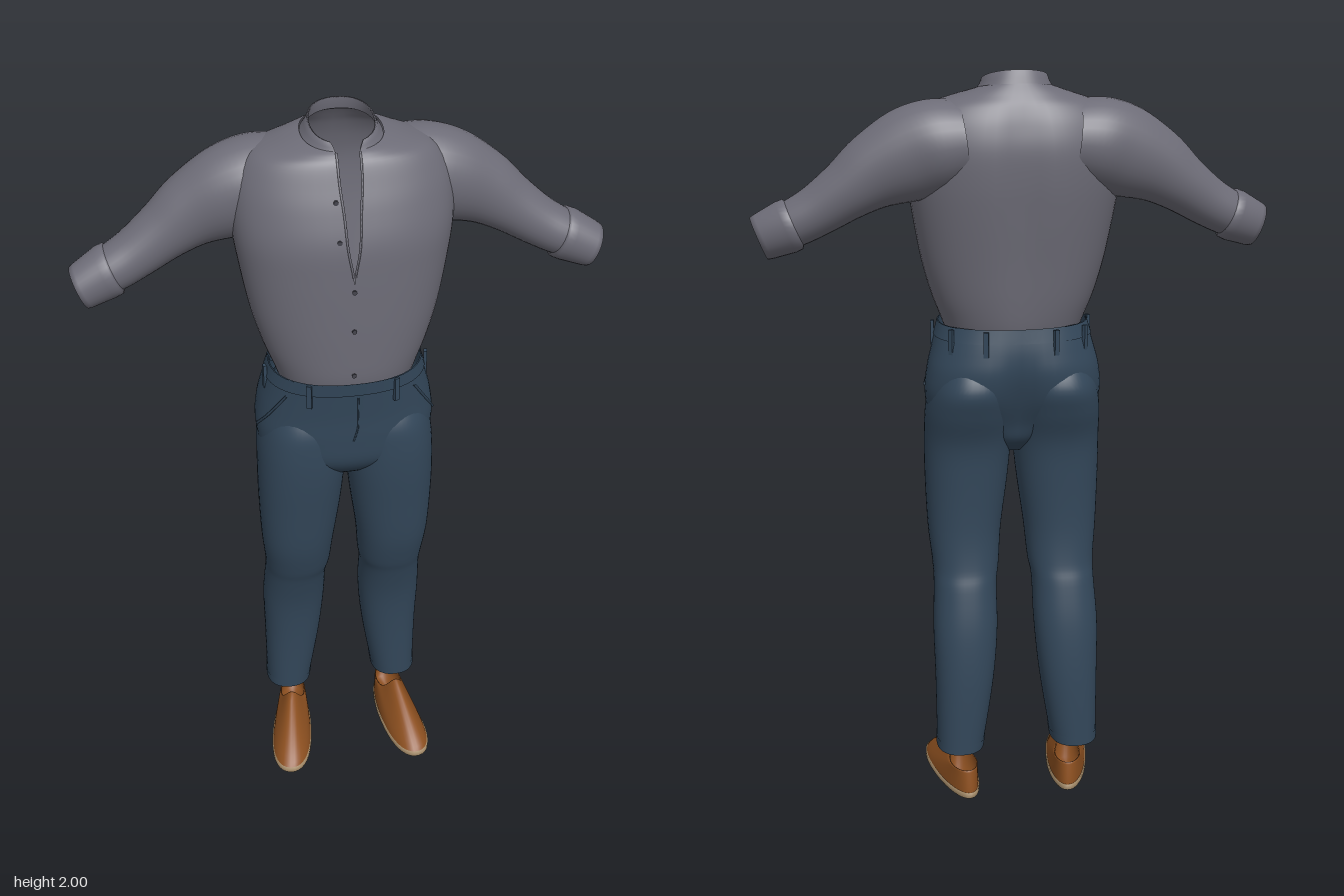
import * as THREE from 'three';
import { mergeVertices } from 'three/addons/utils/BufferGeometryUtils.js';

const mat = (name, color) => new THREE.MeshStandardMaterial({ name, color, side: THREE.DoubleSide });
const V = (x, y, z) => new THREE.Vector3(x, y, z);
const spow = (v, p) => Math.sign(v) * Math.abs(v) ** p;

// Skin a list of point rings; flip reverses the winding for mirrored parts
function loft(rings, flip = false) {
  const n = rings[0].length, pos = [], idx = [];
  rings.forEach(r => r.forEach(p => pos.push(p.x, p.y, p.z)));
  for (let i = 0; i < rings.length - 1; i++) for (let j = 0; j < n - 1; j++) {
    const a = i * n + j, b = a + 1, c = a + n, d = c + 1;
    if (flip) idx.push(a, d, b, a, c, d); else idx.push(a, b, d, a, d, c);
  }
  let g = new THREE.BufferGeometry();
  g.setAttribute('position', new THREE.Float32BufferAttribute(pos, 3));
  g.setIndex(idx);
  g = mergeVertices(g, 1e-5);
  g.computeVertexNormals();
  return g;
}

// Catmull-Rom through rows of section numbers
function smooth(rows, k = 5) {
  const out = [], at = i => rows[Math.min(rows.length - 1, Math.max(0, i))];
  for (let i = 0; i < rows.length - 1; i++) for (let s = 0; s < k; s++) {
    const t = s / k;
    out.push(rows[i].map((p1, c) => {
      const p0 = at(i - 1)[c], p2 = at(i + 1)[c], p3 = at(i + 2)[c];
      return 0.5 * (2 * p1 + (p2 - p0) * t + (2 * p0 - 5 * p1 + 4 * p2 - p3) * t * t + (3 * p1 - p0 - 3 * p2 + p3) * t ** 3);
    }));
  }
  out.push(rows[rows.length - 1]);
  return out;
}

// Section row: y, half width, front z, back z, tilt, half gap at the front, back groove, centre x
const EXP = 2.3;
function point([y, w, zf, zb, tilt, , dent, cx], a, side = 1, grow = 0) {
  const s = Math.sin(a), c = Math.cos(a);
  const x = (w + grow) * spow(s, 2 / EXP);
  let z = (zf + zb) / 2 + ((zf - zb) / 2 + grow) * spow(c, 2 / EXP);
  if (c < 0) z += dent * Math.exp(-((x / 0.05) ** 2));
  return V(side * (cx + x), y - tilt * c, z);
}
function ring(row, side = 1, grow = 0, n = 56) {
  const a0 = Math.asin((Math.max(0, row[5]) / row[1]) ** (EXP / 2));
  return Array.from({ length: n + 1 }, (_, i) => point(row, a0 + (2 * Math.PI - 2 * a0) * i / n, side, grow));
}
const rowAt = (rows, y) => rows.reduce((b, r) => Math.abs(r[0] - y) < Math.abs(b[0] - y) ? r : b);

export function createModel() {
  const model = new THREE.Group();
  const shirt = mat('shirt grey', 0x6d6c77), navy = mat('trouser navy', 0x33475a);
  const leather = mat('shoe brown', 0x8d5020), welt = mat('sole tan', 0xa58c6a);
  const dark = mat('button dark', 0x44444d), under = mat('outsole brown', 0x6a3f1c);
  const add = (name, geo, m, parent = model) => {
    const mesh = new THREE.Mesh(geo, m);
    mesh.name = name;
    parent.add(mesh);
    return mesh;
  };
  const tube = (pts, r) => new THREE.TubeGeometry(new THREE.CatmullRomCurve3(pts), 20, r, 5);

  // Shirt body with an open neck slit
  const body = smooth([
    [1.33, .178, .148, -.130, 0, 0, 0, 0],
    [1.37, .192, .154, -.142, 0, 0, .004, 0],
    [1.43, .215, .156, -.154, 0, 0, .008, 0],
    [1.52, .240, .157, -.168, 0, 0, .012, 0],
    [1.64, .262, .156, -.187, 0, 0, .016, 0],
    [1.73, .274, .151, -.198, 0, .014, .016, 0],
    [1.81, .274, .128, -.200, 0, .020, .014, 0],
    [1.87, .258, .104, -.188, 0, .026, .012, 0],
    [1.915, .222, .084, -.168, 0, .028, .006, 0],
    [1.938, .160, .070, -.148, .005, .028, 0, 0],
    [1.955, .100, .060, -.131, .014, .028, 0, 0],
  ]);
  add('shirtBody', loft(body.map(r => ring(r))), shirt);

  // Stand collar, folded over to the inside
  const collar = [
    [1.950, .099, .061, -.131, .014, .028, 0, 0],
    [1.965, .088, .056, -.124, .018, .032, 0, 0],
    [1.980, .082, .052, -.117, .022, .038, 0, 0],
    [1.979, .077, .048, -.112, .022, .038, 0, 0],
    [1.955, .085, .050, -.118, .016, .030, 0, 0],
  ];
  add('collar', loft(collar.map(r => ring(r))), shirt);

  // Slit edges and front buttons
  for (const end of [0, 56]) {
    const edge = body.filter(r => r[0] > 1.66 && r[0] < 1.95).map(r => ring(r)[end]);
    add('placketEdge', tube(edge, .003), shirt);
  }
  for (const [x, y] of [[0, 1.38], [0, 1.51], [0, 1.62], [-.034, 1.75], [-.038, 1.84]]) {
    const r = rowAt(body, y);
    const b = add('button', new THREE.CylinderGeometry(.006, .006, .006, 10), dark);
    b.position.set(x, y, r[2] + (x ? -.002 : .001));
    b.rotation.x = Math.PI / 2;
  }

  // Sleeves: x, y, z, half height, half depth
  const sleeve = smooth([
    [.14, 1.825, -.085, .105, .105],
    [.21, 1.815, -.080, .118, .112],
    [.28, 1.793, -.076, .116, .100],
    [.36, 1.757, -.075, .096, .082],
    [.43, 1.711, -.070, .076, .072],
    [.50, 1.664, -.060, .065, .065],
    [.56, 1.631, -.050, .060, .062],
    [.62, 1.606, -.040, .055, .056],
  ]);
  const cuff = [
    [.560, 1.630, -.049, .056, .056],
    [.566, 1.627, -.048, .067, .068],
    [.585, 1.619, -.046, .068, .067],
    [.640, 1.595, -.034, .060, .057],
    [.652, 1.590, -.031, .057, .053],
    [.648, 1.592, -.032, .051, .047],
    [.590, 1.617, -.045, .050, .047],
  ];
  const armRings = (rows, side, dir) => rows.map((r, i) => {
    const a = rows[Math.max(0, i - 1)], b = rows[Math.min(rows.length - 1, i + 1)];
    const t = dir || V(b[0] - a[0], b[1] - a[1], 0).normalize();
    return Array.from({ length: 33 }, (_, j) => {
      const f = j / 32 * Math.PI * 2, u = r[3] * Math.cos(f);
      return V(side * (r[0] - t.y * u), r[1] + t.x * u, r[2] + r[4] * Math.sin(f));
    });
  });

  // Trousers: seat and legs
  const seat = smooth([
    [1.00, .060, .050, -.040, 0, 0, 0, 0],
    [1.04, .120, .100, -.080, 0, 0, 0, 0],
    [1.09, .215, .134, -.112, 0, 0, .015, 0],
    [1.16, .236, .143, -.150, 0, 0, .025, 0],
    [1.23, .230, .146, -.165, 0, 0, .018, 0],
    [1.29, .215, .151, -.158, 0, 0, .006, 0],
    [1.355, .196, .157, -.143, 0, 0, 0, 0],
  ]);
  const leg = smooth([
    [.155, .064, .000, -.150, -.004, 0, 0, .162],
    [.35, .080, .010, -.152, 0, 0, 0, .147],
    [.50, .088, .027, -.141, 0, 0, 0, .141],
    [.62, .086, .058, -.117, 0, 0, 0, .137],
    [.68, .091, .080, -.100, 0, 0, 0, .133],
    [.78, .100, .106, -.091, 0, 0, 0, .133],
    [.92, .112, .124, -.096, 0, 0, 0, .126],
    [1.03, .117, .136, -.108, 0, 0, 0, .121],
    [1.12, .115, .140, -.142, 0, 0, 0, .119],
    [1.19, .104, .134, -.160, 0, 0, 0, .115],
    [1.26, .080, .100, -.130, 0, 0, 0, .110],
  ]);
  add('trouserSeat', loft(seat.map(r => ring(r))), navy);
  const band = seat.filter(r => r[0] > 1.31);
  add('waistband', loft(band.map(r => ring(r, 1, .003))), navy);

  // Belt loops and fly seam
  for (const a of [.5, 1.45, 2.2, 2.75, -.5, -1.45, -2.2, -2.75]) {
    const p = point(rowAt(seat, 1.315), a, 1, .005);
    const l = add('beltLoop', new THREE.BoxGeometry(.013, .066, .009), navy);
    l.position.copy(p);
    l.rotation.y = Math.atan2(p.x / .205 ** 2, (p.z - .003) / .155 ** 2);
  }
  add('flySeam', tube([1.31, 1.26, 1.21, 1.17].map((y, i) =>
    V(.012 - (i === 3 ? .01 : 0), y, rowAt(seat, y)[2])), .0025), navy);

  // Shoe outline in its own frame, toe towards +z
  const outline = (a, grow = 0) => {
    const c = Math.cos(a), s = Math.sin(a);
    return V((.056 + .010 * c + grow) * spow(s, .9), 0, .032 + (.168 + grow) * spow(c, .9));
  };
  const loop = f => Array.from({ length: 41 }, (_, i) => f(i / 40 * Math.PI * 2));
  const rim = a => V(.038 * Math.sin(a), .083 + .052 * Math.max(0, Math.cos(a)) ** 3, -.064 + .062 * Math.cos(a));
  const shoeRings = [];
  for (let i = 0; i <= 10; i++) {
    const t = i / 10;
    shoeRings.push(loop(a => {
      const p = outline(a), q = rim(a), w = t ** 1.25;
      return V(p.x + (q.x - p.x) * w, .016 + (q.y - .016) * t, p.z + (q.z - p.z) * w);
    }));
  }
  // Inside wall and insole
  shoeRings.push(loop(a => rim(a).multiply(V(.9, .98, 1)).add(V(0, 0, -.004 * Math.cos(a)))));
  shoeRings.push(loop(a => rim(a).setY(.03)), loop(() => V(0, .03, -.064)));
  const soleSide = loft([[0, 0], [.003, .004], [.003, .016], [-.004, .019]].map(([g, y]) => loop(a => outline(a, g).setY(y))));
  const soleBase = loft([loop(() => V(0, 0, .03)), loop(a => outline(a).setY(0))]);

  for (const side of [1, -1]) {
    const name = side > 0 ? 'left' : 'right';
    add(name + 'Sleeve', loft(armRings(sleeve, side), side < 0), shirt);
    add(name + 'Cuff', loft(armRings(cuff, side, V(.93, -.36, 0).normalize()), side < 0), shirt);
    add(name + 'TrouserLeg', loft(leg.map(r => ring(r, side)), side < 0), navy);

    // Hem band and slanted pocket edge
    add(name + 'Hem', loft(leg.filter(r => r[0] < .2).map(r => ring(r, side, .002)), side < 0), navy);
    const pocket = [[1.30, .85], [1.26, 1.0], [1.22, 1.15], [1.18, 1.4]];
    add(name + 'PocketEdge', tube(pocket.map(([y, a]) => point(rowAt(seat, y), a, side, .001)), .004), navy);

    const shoe = new THREE.Group();
    shoe.name = name + 'Shoe';
    add('upper', loft(shoeRings), leather, shoe);
    add('welt', soleSide, welt, shoe);
    add('outsole', soleBase, under, shoe);
    shoe.position.set(side * .162, 0, .004);
    shoe.rotation.y = side * .17;
    model.add(shoe);
  }
  return model;
}
